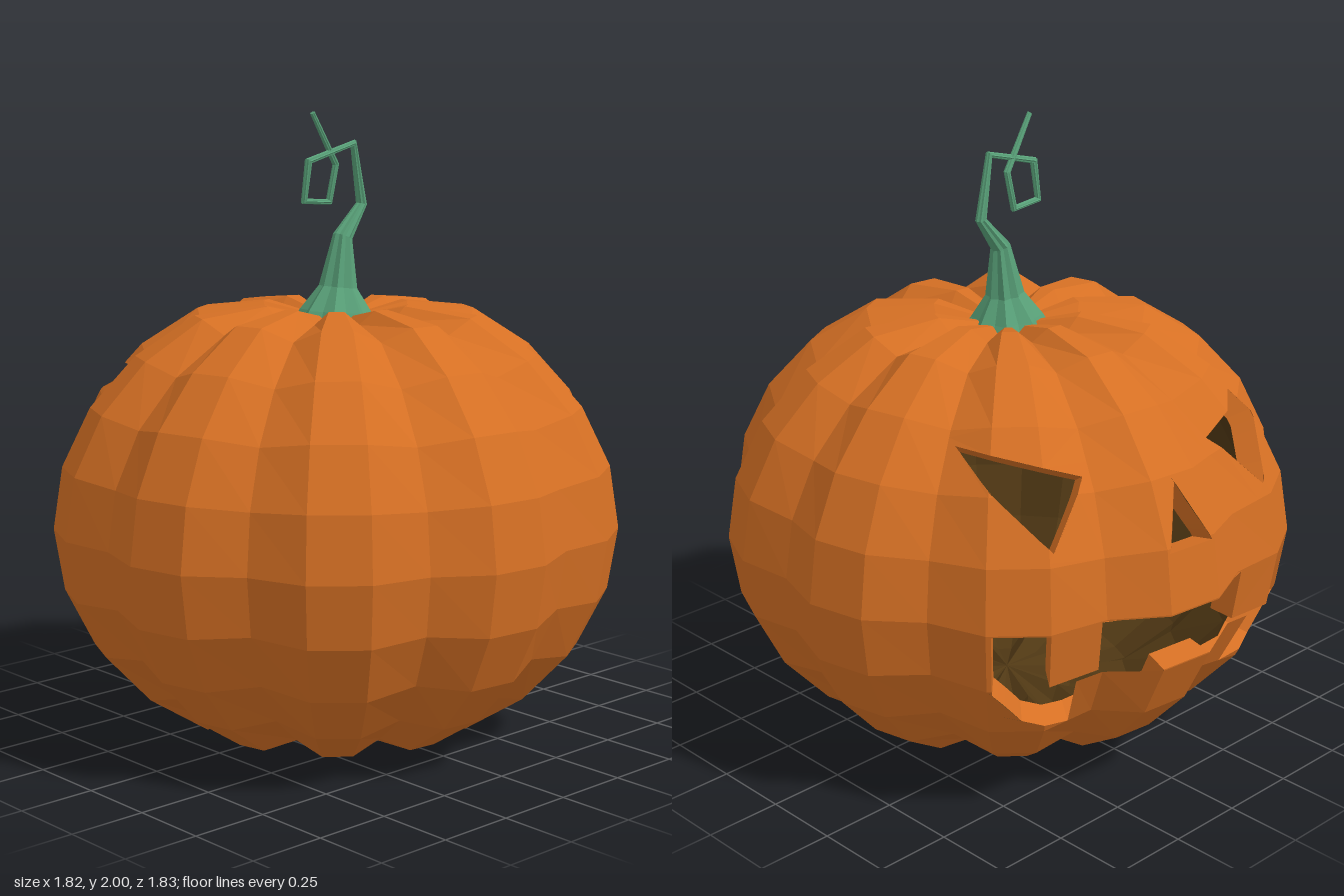
import * as THREE from 'three';

const STEP = 12;        // degrees per segment: 30 segments, 10 lobes
const ROWS = 12;        // rings from bottom pole to top pole
const CY = 0.695;       // height of the centre
const FACE = 6;         // angle of the face centre, measured from -z toward +x
const INNER = 0.91;     // inner wall scale

const mod = (a, n) => ((a % n) + n) % n;

// Ring profile, [radius, height above centre]; the poles are sunken
const rings = [];
for (let j = 0; j <= ROWS; j++) {
  const a = (j / ROWS) * Math.PI;
  const pole = j === 0 || j === ROWS;
  const h = -0.77 * Math.cos(a);
  const limit = pole ? 0.64 : 0.695;
  rings.push([pole ? 0 : 0.915 * Math.sin(a), Math.max(-limit, Math.min(limit, h))]);
}

// Every third meridian is a valley between lobes
function gridPoint(k, j, scale) {
  const f = scale * (mod(k, 3) === 2 && j > 0 && j < ROWS ? 0.937 : 1);
  const a = THREE.MathUtils.degToRad(k * STEP);
  const [r, h] = rings[j];
  return new THREE.Vector3(Math.sin(a) * r * f, CY + h * f, -Math.cos(a) * r * f);
}

// Point on the faceted wall at angle u (degrees) and ring position v
function wallPoint([u, v], scale, k = Math.floor(u / STEP), j = Math.min(ROWS - 1, Math.floor(v))) {
  const s = u / STEP - k, t = v - j;
  const low = gridPoint(k, j, scale).lerp(gridPoint(k + 1, j, scale), s);
  const high = gridPoint(k, j + 1, scale).lerp(gridPoint(k + 1, j + 1, scale), s);
  return low.lerp(high, t);
}

// Face coordinates (angle from face centre, height) to wall coordinates
function toWall([angle, y]) {
  let j = 2;
  while (j < 9 && rings[j + 1][1] + CY < y) j++;
  const y0 = rings[j][1] + CY, y1 = rings[j + 1][1] + CY;
  return [angle + FACE, j + (y - y0) / (y1 - y0)];
}

const mirror = (pts) => pts.map(([a, y]) => [-a, y]).reverse();

// Carved outlines, anticlockwise
const eye = [[20, 1.12], [29, 0.93], [52, 1.2]];
const nose = [[0, 1.06], [-5.5, 0.88], [5.5, 0.88]];
const mouthHalf = [[6, 0.5], [6, 0.31], [24, 0.31], [30, 0.335], [35, 0.36], [41, 0.48],
  [41, 0.69], [30, 0.69], [30, 0.51], [19, 0.51], [19, 0.69]];
const outlines = [eye, mirror(eye), nose, [...mouthHalf, ...mirror(mouthHalf)]]
  .map((o) => o.map(toWall));

// Mouth split into convex columns: start, end, top, bottom at start, bottom at end
const columns = [[6, 19, 0.69, 0.31, 0.31], [19, 24, 0.51, 0.31, 0.31], [24, 30, 0.51, 0.31, 0.335],
  [30, 35, 0.69, 0.335, 0.36], [35, 41, 0.69, 0.36, 0.48]]
  .map(([a, b, top, b0, b1]) => [[a, b0], [b, b1], [b, top], [a, top]]);
const holes = [eye, mirror(eye), nose, [[-6, 0.5], [6, 0.5], [6, 0.69], [-6, 0.69]],
  ...columns, ...columns.map(mirror)].map((o) => o.map(toWall));

// Keep the part of a convex polygon on one side of the line a-b
function clip(poly, a, b, sign) {
  const side = (p) => sign * ((b[0] - a[0]) * (p[1] - a[1]) - (b[1] - a[1]) * (p[0] - a[0]));
  const out = [];
  poly.forEach((p, i) => {
    const q = poly[(i + 1) % poly.length];
    const dp = side(p), dq = side(q);
    if (dp >= 0) out.push(p);
    if ((dp > 1e-9 && dq < -1e-9) || (dp < -1e-9 && dq > 1e-9)) {
      const t = dp / (dp - dq);
      out.push([p[0] + (q[0] - p[0]) * t, p[1] + (q[1] - p[1]) * t]);
    }
  });
  return out.length > 2 ? out : [];
}

// Cut a convex hole out of a convex polygon, giving the leftover pieces
function subtract(poly, hole) {
  const pieces = [];
  let rest = poly;
  for (let i = 0; i < hole.length && rest.length; i++) {
    const a = hole[i], b = hole[(i + 1) % hole.length];
    const outside = clip(rest, a, b, -1);
    if (outside.length) pieces.push(outside);
    rest = clip(rest, a, b, 1);
  }
  return rest.length ? pieces : [poly];
}

function flatGeometry(points) {
  const g = new THREE.BufferGeometry().setFromPoints(points);
  g.computeVertexNormals();
  return g;
}

// Ribbed wall with the face cut out of it
function shellGeometry(scale, inward) {
  const pts = [];
  for (let k = -15; k < 15; k++) {
    for (let j = 0; j < ROWS; j++) {
      const u = k * STEP;
      let pieces = [[[u, j], [u + STEP, j], [u + STEP, j + 1], [u, j + 1]]];
      for (const hole of holes) pieces = pieces.flatMap((p) => subtract(p, hole));
      for (const piece of pieces) {
        const p = piece.map((c) => wallPoint(c, scale, k, j));
        for (let i = 1; i < p.length - 1; i++) {
          pts.push(p[0], ...(inward ? [p[i], p[i + 1]] : [p[i + 1], p[i]]));
        }
      }
    }
  }
  return flatGeometry(pts);
}

// Cut faces joining the outer and inner walls along an outline
function rimGeometry(outline) {
  const pts = [], n = 12;
  outline.forEach((a, i) => {
    const b = outline[(i + 1) % outline.length];
    const at = (t) => [a[0] + (b[0] - a[0]) * t, a[1] + (b[1] - a[1]) * t];
    for (let s = 0; s < n; s++) {
      const p = at(s / n), q = at((s + 1) / n);
      const p0 = wallPoint(p, 1), p1 = wallPoint(p, INNER);
      const q0 = wallPoint(q, 1), q1 = wallPoint(q, INNER);
      pts.push(p0, q0, q1, p0, q1, p1);
    }
  });
  return flatGeometry(pts);
}

// Fluted stem tapering into a curled tendril: x, y, z, radius
function stemGeometry() {
  const path = [[0, 1.31, 0, 0.15], [0, 1.365, 0, 0.115], [0.01, 1.44, 0, 0.062], [0.03, 1.6, 0, 0.032],
    [0.112, 1.7, 0, 0.018], [0.065, 1.895, 0.012, 0.013], [-0.12, 1.845, 0.005, 0.013],
    [-0.13, 1.72, -0.005, 0.012], [-0.02, 1.712, -0.01, 0.012], [0, 1.83, 0, 0.011], [-0.115, 1.995, 0.018, 0.008]];
  const sides = 16;
  const dir = (i) => {
    const a = path[Math.max(0, i)], b = path[Math.min(path.length - 1, i + 1)];
    return new THREE.Vector2(b[0] - a[0], b[1] - a[1]).normalize();
  };
  const loops = path.map(([x, y, z, r], i) => {
    const t = i === 0 ? dir(0) : i === path.length - 1 ? dir(i - 1) : dir(i - 1).add(dir(i)).normalize();
    return Array.from({ length: sides }, (_, s) => {
      const a = (s / sides) * Math.PI * 2;
      const f = r * (s % 2 ? 0.83 : 1);
      return new THREE.Vector3(x - t.y * Math.cos(a) * f, y + t.x * Math.cos(a) * f, z + Math.sin(a) * f);
    });
  });
  const pts = [];
  for (let i = 0; i < loops.length - 1; i++) {
    for (let s = 0; s < sides; s++) {
      const e = (s + 1) % sides;
      pts.push(loops[i][s], loops[i][e], loops[i + 1][e], loops[i][s], loops[i + 1][e], loops[i + 1][s]);
    }
  }
  const tip = loops[loops.length - 1];
  for (let s = 1; s < sides - 1; s++) pts.push(tip[0], tip[s], tip[s + 1]);
  return flatGeometry(pts);
}

export function createModel() {
  const skin = new THREE.MeshStandardMaterial({ color: 0xd67024, side: THREE.DoubleSide, flatShading: true });
  skin.name = 'orangeSkin';
  const inside = new THREE.MeshStandardMaterial({ color: 0x503814, flatShading: true });
  inside.name = 'darkInside';
  const green = new THREE.MeshStandardMaterial({ color: 0x58a078, flatShading: true });
  green.name = 'stemGreen';

  const model = new THREE.Group();
  model.name = 'carvedPumpkin';
  const add = (name, geometry, material) => {
    const mesh = new THREE.Mesh(geometry, material);
    mesh.name = name;
    model.add(mesh);
  };

  add('outerSkin', shellGeometry(1, false), skin);
  add('innerWall', shellGeometry(INNER, true), inside);
  ['leftEyeRim', 'rightEyeRim', 'noseRim', 'mouthRim'].forEach((name, i) => add(name, rimGeometry(outlines[i]), skin));
  add('stem', stemGeometry(), green);
  return model;
}
